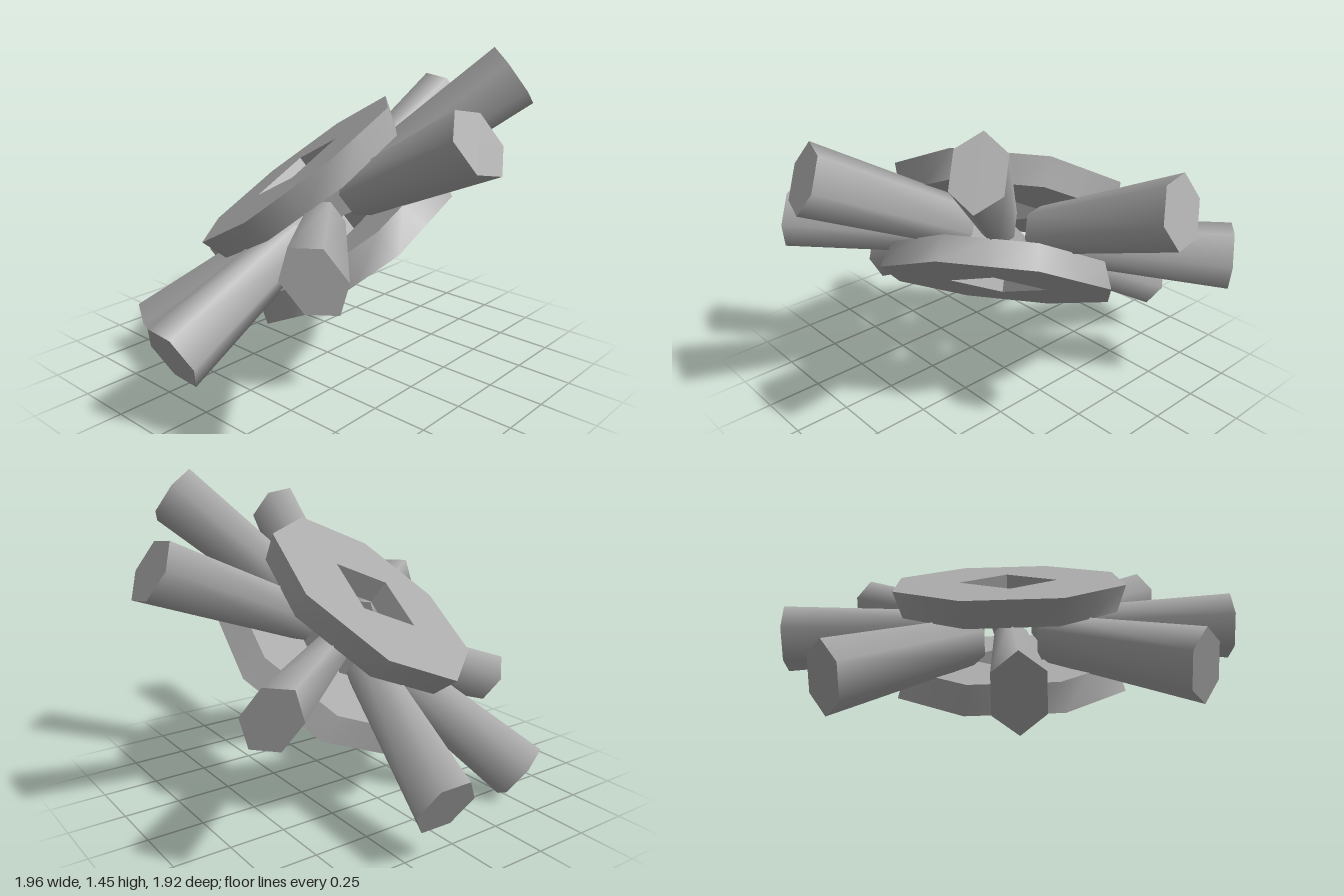
import * as THREE from 'three';
import { toCreasedNormals } from 'three/addons/utils/BufferGeometryUtils.js';

const grey = new THREE.MeshStandardMaterial({ color: 0xaaaaaa });
grey.name = 'plain grey';

// Distance from the centre to a regular polygon's edge; corner is the angle of one corner
function polygonRadius(angle, sides, radius, corner) {
  const step = (Math.PI * 2) / sides;
  const a = (((angle - corner) % step) + step) % step;
  return (radius * Math.cos(step / 2)) / Math.cos(a - step / 2);
}

// Octagonal plate with a square hole and a rim that narrows towards the spokes
function plateGeometry() {
  const steps = 16;
  const octagon = (r) => (a) => polygonRadius(a, 8, r, Math.PI / 8);
  const square = (r) => (a) => polygonRadius(a, 4, r, 0);
  const profile = [
    [octagon(0.54), 0.235], [octagon(0.5), 0.115],
    [square(0.22), 0.115], [square(0.22), 0.235],
  ];
  const n = profile.length;
  const positions = [];
  const index = [];
  for (let i = 0; i < steps; i++) {
    const a = (i / steps) * Math.PI * 2;
    profile.forEach(([radius, y], j) => {
      const r = radius(a);
      positions.push(r * Math.cos(a), y, r * Math.sin(a));
      const p = i * n + j;
      const q = ((i + 1) % steps) * n + j;
      const pn = i * n + ((j + 1) % n);
      const qn = ((i + 1) % steps) * n + ((j + 1) % n);
      index.push(p, q, qn, p, qn, pn);
    });
  }
  const geometry = new THREE.BufferGeometry();
  geometry.setAttribute('position', new THREE.Float32BufferAttribute(positions, 3));
  geometry.setIndex(index);
  return toCreasedNormals(geometry, 1.0);
}

// Tapered six-sided spoke along +x, taller than wide
function spokeGeometry() {
  const inner = 0.23, outer = 1.01;
  const geometry = new THREE.CylinderGeometry(0.15, 0.108, outer - inner, 6);
  geometry.scale(0.74, 1, 1);           // narrow sides, apex up and down
  geometry.rotateZ(-Math.PI / 2);       // length along x
  geometry.rotateX(Math.PI / 2);        // tall direction along y
  geometry.translate((inner + outer) / 2, 0, 0);
  return geometry;
}

export function createModel() {
  const model = new THREE.Group();
  model.name = 'spokedWheel';

  // Tilt of the whole wheel, with a slight turn about its own axle
  const tilt = new THREE.Group();
  tilt.name = 'tilt';
  tilt.position.y = 0.715;
  tilt.rotation.set(-0.6435, 0.6435, 0, 'YXZ');
  const wheel = new THREE.Group();
  wheel.name = 'wheel';
  wheel.rotation.y = 0.065;
  tilt.add(wheel);
  model.add(tilt);

  // Two matching hub plates
  const plate = plateGeometry();
  ['upperPlate', 'lowerPlate'].forEach((name, i) => {
    const mesh = new THREE.Mesh(plate, grey);
    mesh.name = name;
    mesh.rotation.x = i * Math.PI;
    wheel.add(mesh);
  });

  // Eight spokes between the plates
  const spoke = spokeGeometry();
  for (let i = 0; i < 8; i++) {
    const mesh = new THREE.Mesh(spoke, grey);
    mesh.name = `spoke${i + 1}`;
    mesh.rotation.y = (i * Math.PI) / 4;
    wheel.add(mesh);
  }
  return model;
}
